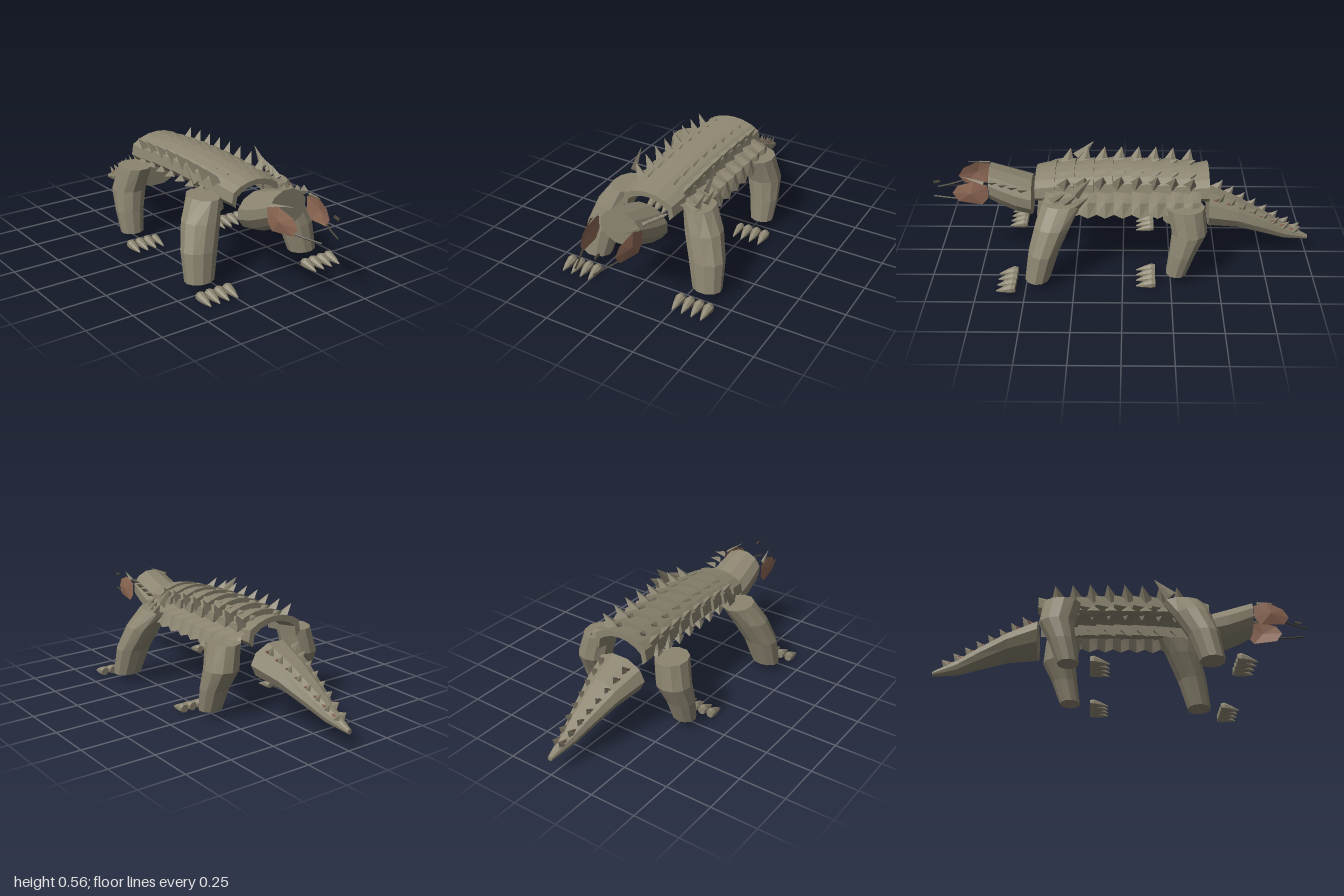
import * as THREE from 'three';

const make = (name, color) => {
  const m = new THREE.MeshStandardMaterial({ color, flatShading: true, side: THREE.DoubleSide });
  m.name = name;
  return m;
};

// Skin through elliptical rings [x, y, z, r1, r2]; 'y' rings lie flat, 'x' rings stand upright
function loft(rings, sides, axis) {
  const pos = [];
  const pts = rings.map(([x, y, z, a, b]) => Array.from({ length: sides }, (_, i) => {
    const t = ((i + 0.5) / sides) * Math.PI * 2, c = Math.cos(t), s = Math.sin(t);
    return axis === 'y' ? [x + a * c, y, z - b * s] : [x, y + a * c, z + b * s];
  }));
  for (let r = 0; r < rings.length - 1; r++) {
    for (let i = 0; i < sides; i++) {
      const j = (i + 1) % sides;
      const [a, b, c, d] = [pts[r][i], pts[r][j], pts[r + 1][j], pts[r + 1][i]];
      pos.push(...a, ...b, ...c, ...a, ...c, ...d);
    }
  }
  const last = rings.length - 1;
  for (let i = 0; i < sides; i++) {
    const j = (i + 1) % sides;
    pos.push(...rings[0].slice(0, 3), ...pts[0][j], ...pts[0][i]);
    pos.push(...rings[last].slice(0, 3), ...pts[last][i], ...pts[last][j]);
  }
  const g = new THREE.BufferGeometry();
  g.setAttribute('position', new THREE.Float32BufferAttribute(pos, 3));
  g.computeVertexNormals();
  return g;
}

// Four-sided spike from base to tip: w is the half width along x, d the half depth
function spikeGeo(base, tip, w, d) {
  const b = new THREE.Vector3(...base), up = new THREE.Vector3(...tip).sub(b);
  const len = up.length();
  up.normalize();
  const side = new THREE.Vector3(1, 0, 0).addScaledVector(up, -up.x).normalize();
  const deep = new THREE.Vector3().crossVectors(side, up);
  const g = new THREE.ConeGeometry(1, len, 4).translate(0, len / 2, 0).scale(w, 1, d);
  return g.applyMatrix4(new THREE.Matrix4().makeBasis(side, up, deep).setPosition(b));
}

export function createModel() {
  const model = new THREE.Group();
  const hide = make('stone hide', 0x8b8470);
  const brown = make('reddish brown', 0x8f6955);
  const dark = make('dark line', 0x4a4638);
  const add = (name, geo, mat = hide) => {
    const m = new THREE.Mesh(geo, mat);
    m.name = name;
    model.add(m);
    return m;
  };

  // Tail, tapering back and down
  const tail = [
    [-1, 0.103, 0, 0.013, 0.013], [-0.87, 0.142, 0, 0.042, 0.043], [-0.77, 0.19, 0, 0.058, 0.07],
    [-0.61, 0.26, 0, 0.077, 0.112], [-0.45, 0.303, 0, 0.1, 0.152],
  ];
  add('tail', loft(tail, 10, 'x'));

  // Two rows of tail spikes, each with a brown base scale
  for (const s of [1, -1]) {
    for (let i = 0; i < 8; i++) {
      const x = -0.5 - i * 0.06, k = (x + 1) / 0.55;
      const y = 0.118 + 0.27 * k, z = s * (0.006 + 0.07 * k), h = 0.018 + 0.03 * k;
      add('tailSpike', spikeGeo([x, y - 0.012, z], [x - 0.035, y + h, z * 1.15], 0.028, 0.012));
      add('tailScale', spikeGeo([x + 0.022, y - 0.008, z * 1.1], [x - 0.01, y + h * 0.5, z * 1.3], 0.018, 0.008), brown);
    }
  }

  // Overlapping arched back bands
  const arch = new THREE.Shape();
  const outer = [[-0.155, 0.42], [-0.145, 0.475], [-0.105, 0.5], [-0.05, 0.517], [0, 0.522]];
  outer.forEach(([z, y], i) => (i ? arch.lineTo(z, y) : arch.moveTo(z, y)));
  outer.slice(0, -1).reverse().forEach(([z, y]) => arch.lineTo(-z, y));
  outer.forEach(([z, y]) => arch.lineTo(-z * 0.84, y - 0.028));
  outer.slice(0, -1).reverse().forEach(([z, y]) => arch.lineTo(z * 0.84, y - 0.028));
  arch.closePath();
  for (let i = 0; i < 9; i++) {
    const g = new THREE.ExtrudeGeometry(arch, { depth: 0.105, bevelEnabled: false });
    g.rotateY(Math.PI / 2).translate(-0.0525, -0.45, 0);
    // Rear edge flares so each band laps over the next
    const p = g.attributes.position;
    for (let v = 0; v < p.count; v++) {
      const f = p.getX(v) < 0 ? 1.06 : 0.95;
      p.setY(v, p.getY(v) * f + (p.getX(v) < 0 ? 0.008 : -0.006));
      p.setZ(v, p.getZ(v) * f);
    }
    g.computeVertexNormals();
    const lift = 0.022 * Math.sin((i / 8) * Math.PI);
    add('backBand', g.translate(-0.395 + i * 0.1, 0.447 + lift, 0));
  }

  // Flared side spikes and shallow inner ridge spikes
  for (const s of [1, -1]) {
    for (let i = 0; i < 8; i++) {
      const x = -0.35 + i * 0.092, lift = 0.012 * Math.sin((i / 7) * Math.PI);
      add('backSpike', spikeGeo([x + 0.01, 0.47 + lift, s * 0.125], [x - 0.01, 0.546 + lift, s * 0.178], 0.045, 0.03));
      add('ridgeSpike', spikeGeo([x + 0.02, 0.49 + lift, s * 0.075], [x - 0.035, 0.528 + lift, s * 0.075], 0.035, 0.018));
      add('sidePlate', spikeGeo([x + 0.01, 0.425, s * 0.14], [x - 0.02, 0.4, s * 0.178], 0.042, 0.022));
    }
  }

  // Jagged flank skin on the right-hand flank
  const flank = [], steps = 18;
  const row = (i) => {
    const x = -0.4 + (0.8 * i) / steps, o = i % 2 ? 0.014 : 0;
    return [[x, 0.455, -0.14], [x, 0.43 + o * 0.5, -0.225 - o], [x, 0.375 - o, -0.25 - o]];
  };
  for (let i = 0; i < steps; i++) {
    const a = row(i), b = row(i + 1);
    for (let k = 0; k < 2; k++) flank.push(...a[k], ...b[k + 1], ...b[k], ...a[k], ...a[k + 1], ...b[k + 1]);
  }
  const flankGeo = new THREE.BufferGeometry();
  flankGeo.setAttribute('position', new THREE.Float32BufferAttribute(flank, 3));
  flankGeo.computeVertexNormals();
  add('flankSkin', flankGeo);

  // Neck
  add('neck', loft([
    [0.48, 0.36, 0, 0.103, 0.132], [0.56, 0.382, 0, 0.107, 0.13], [0.64, 0.413, 0, 0.102, 0.123], [0.7, 0.439, 0, 0.095, 0.115],
  ], 12, 'x'));
  for (let i = 0; i < 4; i++) {
    add('neckSpike', spikeGeo([0.53 + i * 0.05, 0.44 + i * 0.015, -0.115], [0.49 + i * 0.05, 0.46 + i * 0.015, -0.152], 0.025, 0.012));
  }

  // Cheek plates, brows and mouth lines
  const cheek = [[0.7, 0.47], [0.77, 0.495], [0.86, 0.46], [0.89, 0.415], [0.86, 0.37], [0.735, 0.36], [0.7, 0.4]];
  const hub = [0.79, 0.425, 0.128];
  for (const s of [1, -1]) {
    const pos = [];
    const rim = ([x, y]) => [x, y, s * (0.122 - Math.max(0, x - 0.76) * 0.19)];
    cheek.forEach((c, i) => {
      const a = rim(c), b = rim(cheek[(i + 1) % cheek.length]), h = [hub[0], hub[1], s * hub[2]];
      pos.push(...h, ...(s > 0 ? b : a), ...(s > 0 ? a : b));
    });
    const g = new THREE.BufferGeometry();
    g.setAttribute('position', new THREE.Float32BufferAttribute(pos, 3));
    g.computeVertexNormals();
    add('cheekPlate', g, brown);
    add('brow', spikeGeo([0.72, 0.485, s * 0.12], [0.84, 0.505, s * 0.085], 0.012, 0.008));
    const lip = new THREE.CatmullRomCurve3([[0.87, 0.385, 0.1], [0.93, 0.377, 0.075], [0.998, 0.372, 0.05]]
      .map(([x, y, z]) => new THREE.Vector3(x, y, s * z)));
    add('mouthLine', new THREE.TubeGeometry(lip, 6, 0.005, 4), dark);
  }
  add('nostril', new THREE.BoxGeometry(0.035, 0.012, 0.008).rotateZ(-0.2).translate(0.975, 0.462, -0.06), dark);

  // Legs, shoulder spikes and claws, mirrored across z
  const frontLeg = [[0.44, 0.05, 0.33, 0.065, 0.08], [0.405, 0.2, 0.307, 0.08, 0.098], [0.355, 0.33, 0.262, 0.095, 0.1], [0.31, 0.43, 0.215, 0.105, 0.077]];
  const backLeg = [[-0.28, 0.05, 0.275, 0.056, 0.065], [-0.31, 0.17, 0.27, 0.07, 0.08], [-0.343, 0.28, 0.252, 0.092, 0.092], [-0.32, 0.41, 0.225, 0.1, 0.085]];
  const flip = (rings, s) => rings.map(([x, y, z, a, b]) => [x, y, s * z, a, b]);
  for (const s of [1, -1]) {
    add('frontLeg', loft(flip(frontLeg, s), 11, 'y'));
    add('backLeg', loft(flip(backLeg, s), 11, 'y'));
    add('shoulderSpike', spikeGeo([0.25, 0.47, s * 0.215], [0.16, 0.567, s * 0.222], 0.035, 0.014));
    for (const [x, zs] of [[0.55, [0.25, 0.303, 0.357, 0.41]], [-0.17, [0.207, 0.255, 0.305, 0.357]]]) {
      for (const z of zs) {
        const r = z === 0.207 ? 0.021 : 0.027, y = 0.031;
        add('claw', loft([[x, y, s * z, r * 0.8, r * 0.8], [x + 0.02, y, s * z, r, r * 0.95],
          [x + 0.06, y - 0.008, s * z, r * 0.62, r * 0.65], [x + 0.1, 0.013, s * z, 0.003, 0.003]], 8, 'x'));
      }
    }
  }
  for (const [x, z] of [[0.3, -0.24], [0.36, -0.22], [0.24, -0.26]]) {
    add('shoulderSpike', spikeGeo([x, 0.435, z], [x - 0.07, 0.49, z - 0.015], 0.03, 0.016));
  }
  return model;
}
